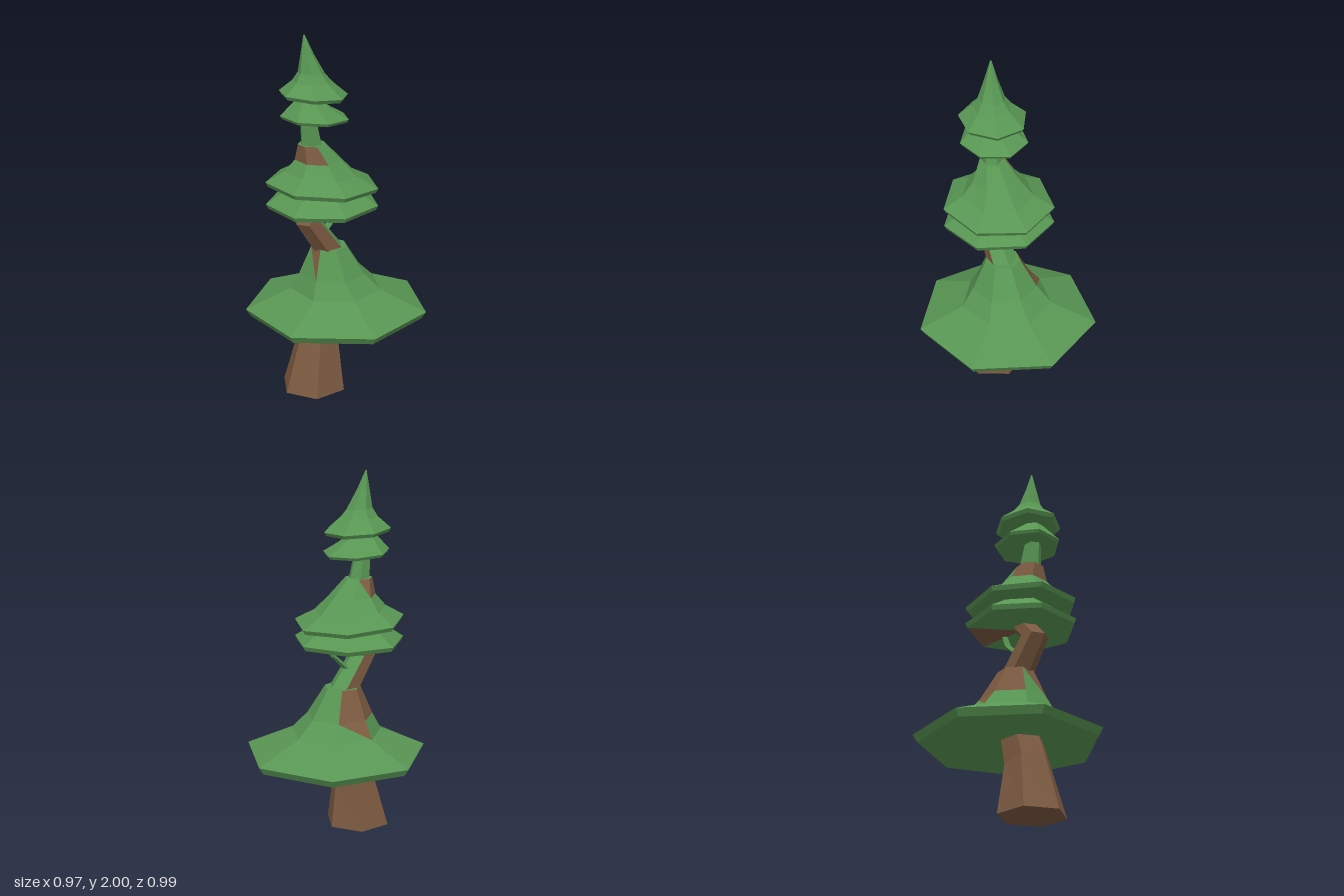
import * as THREE from 'three';

const leafGreen = new THREE.MeshStandardMaterial({ color: 0x589653 });
leafGreen.name = 'leafGreen';
const barkBrown = new THREE.MeshStandardMaterial({ color: 0x7c5a41 });
barkBrown.name = 'barkBrown';

// Faceted loft through rings [x, y, radius, tilt, z]. isBrown(segment, wedge, half) picks the bark
// colour for a triangle; segment -1 is the bottom cap.
function loft(name, rings, sides, isBrown, turn = 0) {
  const point = (i, k) => {
    const [x, y, r, tilt = 0, z = 0] = rings[i];
    const a = turn + (k / sides) * Math.PI * 2;
    const dx = r * Math.cos(a);
    return [x + dx, y + tilt * dx, z + r * Math.sin(a)];
  };
  const centre = (i) => [rings[i][0], rings[i][1], rings[i][4] || 0];
  const green = [], brown = [];
  const last = rings.length - 1;
  const add = (s, k, half, ...pts) => (isBrown(s, k, half) ? brown : green).push(...pts.flat());
  for (let k = 0; k < sides; k++) {
    add(-1, k, 0, centre(0), point(0, k), point(0, k + 1));
    for (let i = 0; i < last; i++) {
      const a = point(i, k), b = point(i, k + 1), c = point(i + 1, k + 1), d = point(i + 1, k);
      add(i, k, 0, a, d, c);
      add(i, k, 1, a, c, b);
    }
    add(last, k, 0, centre(last), point(last, k + 1), point(last, k));
  }
  const geo = new THREE.BufferGeometry();
  geo.setAttribute('position', new THREE.Float32BufferAttribute([...green, ...brown], 3));
  geo.addGroup(0, green.length / 3, 0);
  geo.addGroup(green.length / 3, brown.length / 3, 1);
  geo.computeVertexNormals();
  const mesh = new THREE.Mesh(geo, [leafGreen, barkBrown]);
  mesh.name = name;
  return mesh;
}

export function createModel() {
  const tree = new THREE.Group();
  tree.name = 'crookedPine';
  const never = () => false;

  // Crooked hexagonal trunk with mossy faces
  tree.add(loft('trunk', [
    [-0.185, 0, 0.185], [-0.15, 0.295, 0.12, -0.3], [-0.08, 0.55, 0.105, -0.1],
    [-0.085, 0.81, 0.085, 0.1], [-0.215, 0.99, 0.075, 0.05], [-0.135, 1.08, 0.07, -0.1],
    [-0.12, 1.16, 0.07], [-0.185, 1.4, 0.062], [-0.21, 1.57, 0.045], [-0.222, 1.72, 0.035],
  ], 6, (s, k, h) => {
    if (s === 1) return k === 2 || k === 3 || k === 4 || (k === 0 && h === 0) || (k === 5 && h === 1);
    if (s === 3) return k !== 0 && k !== 5;
    return s < 7;
  }));

  // Small side branch
  tree.add(loft('branch', [
    [-0.1, 0.92, 0.022], [-0.012, 1.0, 0.018], [0.025, 1.1, 0.016],
  ], 5, never));

  // Wide lower canopy, with bark showing at the back of its neck
  tree.add(loft('lowerCanopy', [
    [-0.025, 0.42, 0.485], [-0.025, 0.46, 0.51], [-0.03, 0.57, 0.255],
    [-0.055, 0.66, 0.185], [-0.075, 0.82, 0.1],
  ], 7, (s, k, h) => (s === 3 && (k === 4 || k === 5 || (k === 3 && h === 0)))
    || (s === 2 && k === 5 && h === 0)));

  // Middle pair of canopies
  tree.add(loft('middleCanopyLower', [
    [-0.118, 1.06, 0.295], [-0.118, 1.085, 0.308], [-0.12, 1.155, 0.2], [-0.13, 1.21, 0.12],
  ], 7, (s, k) => s === -1 && k === 6));
  tree.add(loft('middleCanopyUpper', [
    [-0.118, 1.168, 0.295, -0.06], [-0.118, 1.192, 0.308, -0.06], [-0.125, 1.25, 0.2, -0.08],
    [-0.14, 1.325, 0.13, -0.04], [-0.185, 1.42, 0.075],
  ], 7, (s, k, h) => s === 3 && (k === 2 || k === 3 || k === 4 || (k === 5 && h === 0))));

  // Top pair of canopies, ending in a leaning tip
  tree.add(loft('topCanopyLower', [
    [-0.165, 1.55, 0.175, -0.06], [-0.165, 1.566, 0.185, -0.06],
    [-0.185, 1.615, 0.12, -0.1], [-0.205, 1.665, 0.06, -0.1],
  ], 7, never));
  tree.add(loft('topCanopyUpper', [
    [-0.172, 1.668, 0.172, -0.08], [-0.172, 1.688, 0.185, -0.08], [-0.18, 1.755, 0.105, -0.05],
    [-0.185, 1.8, 0.072, -0.08], [-0.205, 1.9, 0.035, 0, -0.008], [-0.218, 2.0, 0.004, 0, -0.015],
  ], 7, never, -Math.PI / 6));

  return tree;
}
